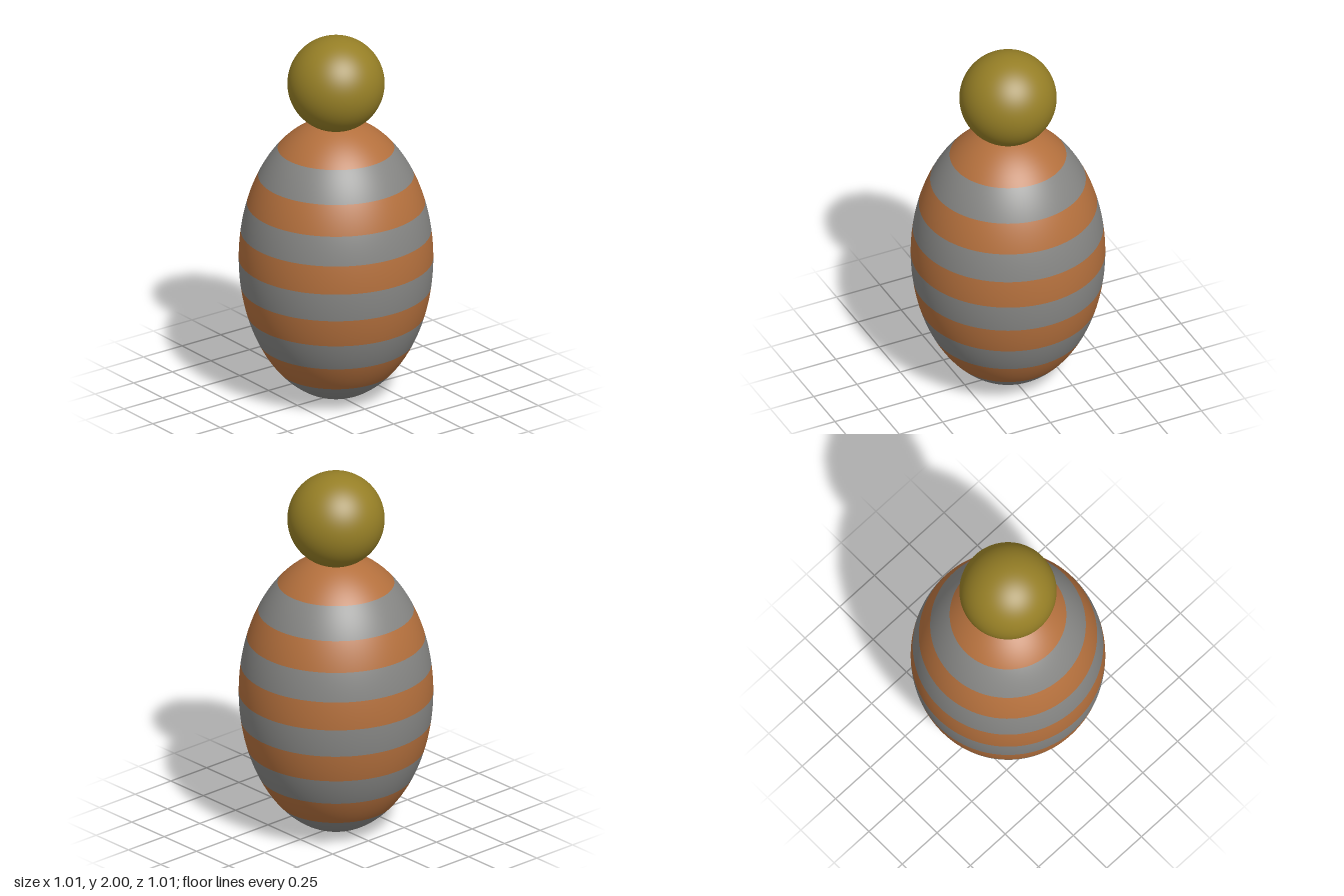
import * as THREE from 'three';

const material = (name, color) => {
  const m = new THREE.MeshStandardMaterial({ color });
  m.name = name;
  return m;
};

export function createModel() {
  const orange = material('orange', 0xb4703d);
  const grey = material('grey', 0x868684);
  const olive = material('olive', 0x967f26);

  const model = new THREE.Group();
  model.name = 'stripedFigure';

  // Egg-shaped body: bands of equal height cut from one ellipsoid
  const body = new THREE.Group();
  body.name = 'body';
  const radius = 0.505, halfHeight = 0.77, bands = 10;
  const angleAt = (i) => Math.acos(THREE.MathUtils.clamp(1 - (2 * i) / bands, -1, 1));
  for (let i = 0; i < bands; i++) {
    const start = angleAt(i);
    const geometry = new THREE.SphereGeometry(
      1, 96, 12, 0, Math.PI * 2, start, angleAt(i + 1) - start);
    geometry.scale(radius, halfHeight, radius);
    const band = new THREE.Mesh(geometry, i % 2 ? grey : orange);
    band.name = i % 2 ? 'greyBand' : 'orangeBand';
    body.add(band);
  }
  body.position.y = halfHeight;
  model.add(body);

  // Round head resting slightly sunk into the body
  const headRadius = 0.2525;
  const head = new THREE.Mesh(new THREE.SphereGeometry(headRadius, 96, 64), olive);
  head.name = 'head';
  head.position.y = 2 - headRadius;
  model.add(head);

  return model;
}
